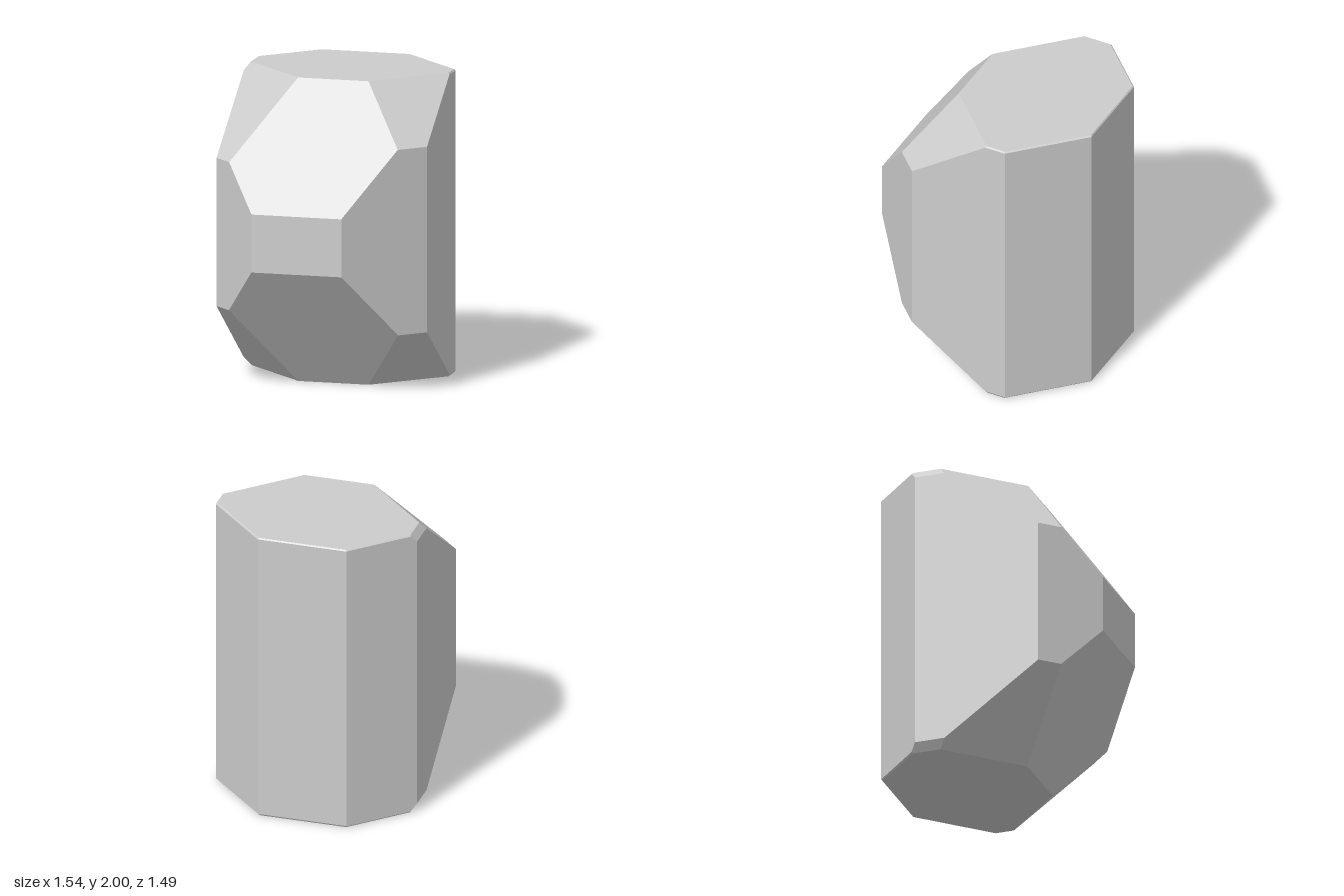
import * as THREE from 'three';

// Facet planes as [nx, ny, nz, d], solid where n.p <= d
function facetPlanes() {
  // upright octagonal sides
  const planes = [
    [-1, 0, 0, 0.77], [1, 0, 0, 0.77], [0, 0, 1, 0.745], [0, 0, -1, 0.745],
    [1, 0, 1, 1.037], [-1, 0, 1, 1.088], [-1, 0, -1, 0.915], [1, 0, -1, 1.09],
  ];
  // flat ends, then bevels measured from the middle height: [nx, nz, d above, d below]
  const bevels = [
    [0, 0, 1, 1],
    [0, 1, 1.358, 1.354], [-1, 0, 1.26, 1.256], [-1, 1, 1.283, 1.275],
    [-1, -1, 1.862, 1.857], [1, 0, 1.76, 1.757], [0, -1, 1.737, 1.735],
    [1, 1, 2.027, 2.023], [1, -1, 2.081, 2.079],
  ];
  for (const [nx, nz, above, below] of bevels) {
    planes.push([nx, 1, nz, above + 1], [nx, -1, nz, below - 1]);
  }
  return planes.map(([x, y, z, d]) => new THREE.Plane(new THREE.Vector3(x, y, z), -d).normalize());
}

// Point shared by three planes, or null when they do not meet
function meet(a, b, c) {
  const bc = b.normal.clone().cross(c.normal);
  const det = a.normal.dot(bc);
  if (Math.abs(det) < 1e-6) return null;
  return bc.multiplyScalar(-a.constant)
    .addScaledVector(c.normal.clone().cross(a.normal), -b.constant)
    .addScaledVector(a.normal.clone().cross(b.normal), -c.constant)
    .divideScalar(det);
}

// Solid bounded by all planes, one flat polygon per plane
function facetedSolid(planes) {
  const corners = [];
  for (let i = 0; i < planes.length; i++)
    for (let j = i + 1; j < planes.length; j++)
      for (let k = j + 1; k < planes.length; k++) {
        const p = meet(planes[i], planes[j], planes[k]);
        if (!p || planes.some((q) => q.distanceToPoint(p) > 1e-6)) continue;
        if (!corners.some((q) => q.distanceTo(p) < 1e-5)) corners.push(p);
      }

  const positions = [], normals = [];
  for (const plane of planes) {
    const n = plane.normal;
    const face = corners.filter((p) => Math.abs(plane.distanceToPoint(p)) < 1e-5);
    if (face.length < 3) continue;
    // order the corners counter-clockwise around the outward normal
    const centre = face.reduce((s, p) => s.add(p), new THREE.Vector3()).divideScalar(face.length);
    const u = face[0].clone().sub(centre).normalize();
    const v = n.clone().cross(u);
    const angle = (p) => {
      const r = p.clone().sub(centre);
      return Math.atan2(r.dot(v), r.dot(u));
    };
    face.sort((p, q) => angle(p) - angle(q));
    for (let i = 1; i < face.length - 1; i++)
      for (const p of [face[0], face[i], face[i + 1]]) {
        positions.push(...p.toArray());
        normals.push(...n.toArray());
      }
  }
  const geometry = new THREE.BufferGeometry();
  geometry.setAttribute('position', new THREE.Float32BufferAttribute(positions, 3));
  geometry.setAttribute('normal', new THREE.Float32BufferAttribute(normals, 3));
  return geometry;
}

export function createModel() {
  const group = new THREE.Group();
  group.name = 'facetedStone';
  const material = new THREE.MeshStandardMaterial({ color: 0xcccccc });
  material.name = 'lightGrey';
  const stone = new THREE.Mesh(facetedSolid(facetPlanes()), material);
  stone.name = 'stone';
  group.add(stone);
  return group;
}
